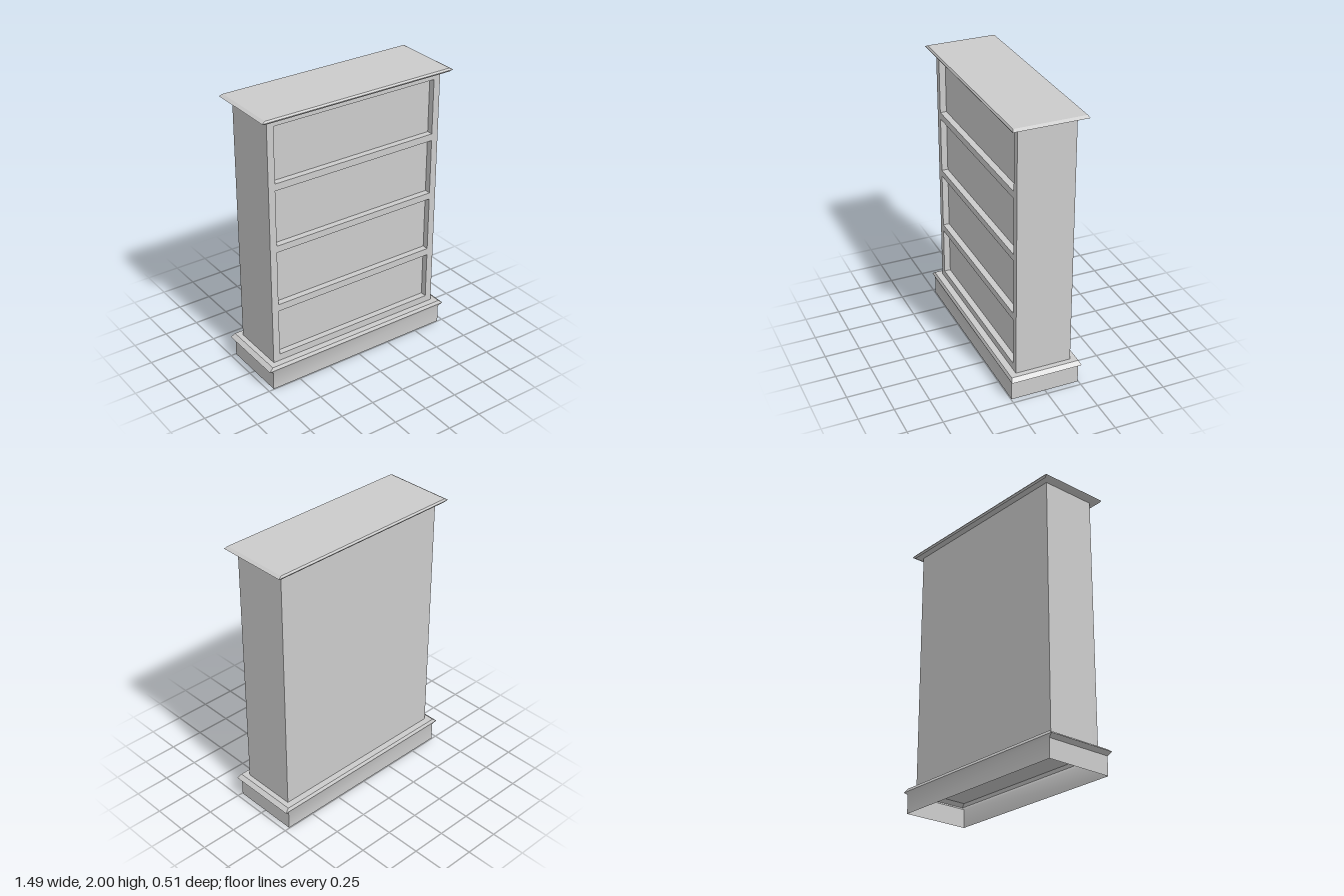
import * as THREE from 'three';
import { toCreasedNormals } from 'three/addons/utils/BufferGeometryUtils.js';

const grey = new THREE.MeshStandardMaterial({ color: 0xcccccc });
const greyDouble = new THREE.MeshStandardMaterial({ color: 0xcccccc, side: THREE.DoubleSide });

// Joins rectangular rings [halfX, y, halfZ], listed from the bottom up
function loftRectangles(rings) {
  const positions = [];
  const index = [];
  for (const [x, y, z] of rings) {
    positions.push(-x, y, z, x, y, z, x, y, -z, -x, y, -z);
  }
  for (let r = 0; r < rings.length - 1; r++) {
    for (let i = 0; i < 4; i++) {
      const a = r * 4 + i;
      const b = r * 4 + (i + 1) % 4;
      index.push(a, b, b + 4, a, b + 4, a + 4);
    }
  }
  const geometry = new THREE.BufferGeometry();
  geometry.setAttribute('position', new THREE.Float32BufferAttribute(positions, 3));
  geometry.setIndex(index);
  return toCreasedNormals(geometry, 0.5);
}

function rectanglePath(path, x0, y0, x1, y1) {
  path.moveTo(x0, y0);
  path.lineTo(x1, y0);
  path.lineTo(x1, y1);
  path.lineTo(x0, y1);
  path.closePath();
  return path;
}

export function createModel() {
  const group = new THREE.Group();
  const add = (name, geometry, material = grey) => {
    const mesh = new THREE.Mesh(geometry, material);
    mesh.name = name;
    group.add(mesh);
    return mesh;
  };

  const halfWidth = 0.676, halfDepth = 0.2, bottom = 0.178, top = 1.976, recess = 0.045;

  // Solid cabinet behind the shallow shelf openings
  const bodyDepth = 2 * halfDepth - recess;
  add('cabinetBody', new THREE.BoxGeometry(2 * halfWidth, top - bottom, bodyDepth))
    .position.set(0, (top + bottom) / 2, -recess / 2);

  // Front frame with four openings
  const frame = rectanglePath(new THREE.Shape(), -halfWidth, bottom, halfWidth, top);
  for (const [y0, y1] of [[0.228, 0.575], [0.626, 1.027], [1.075, 1.477], [1.527, 1.923]]) {
    frame.holes.push(rectanglePath(new THREE.Path(), -0.626, y0, 0.626, y1));
  }
  add('shelfFrame', new THREE.ExtrudeGeometry(frame, { depth: recess, bevelEnabled: false }))
    .position.z = halfDepth - recess;

  // Hollow plinth, open underneath, with a pointed moulding
  add('plinth', loftRectangles([
    [0.711, 0, 0.246],
    [0.711, 0.133, 0.246],
    [0.743, 0.155, 0.256],
    [0.713, bottom, 0.246],
    [halfWidth, bottom, halfDepth],
  ]), greyDouble);

  // Overhanging top with bevelled edges
  add('topBoard', loftRectangles([
    [0, 1.975, 0],
    [0.715, 1.975, 0.247],
    [0.738, 1.987, 0.255],
    [0.715, 2, 0.247],
    [0, 2, 0],
  ]));

  return group;
}
